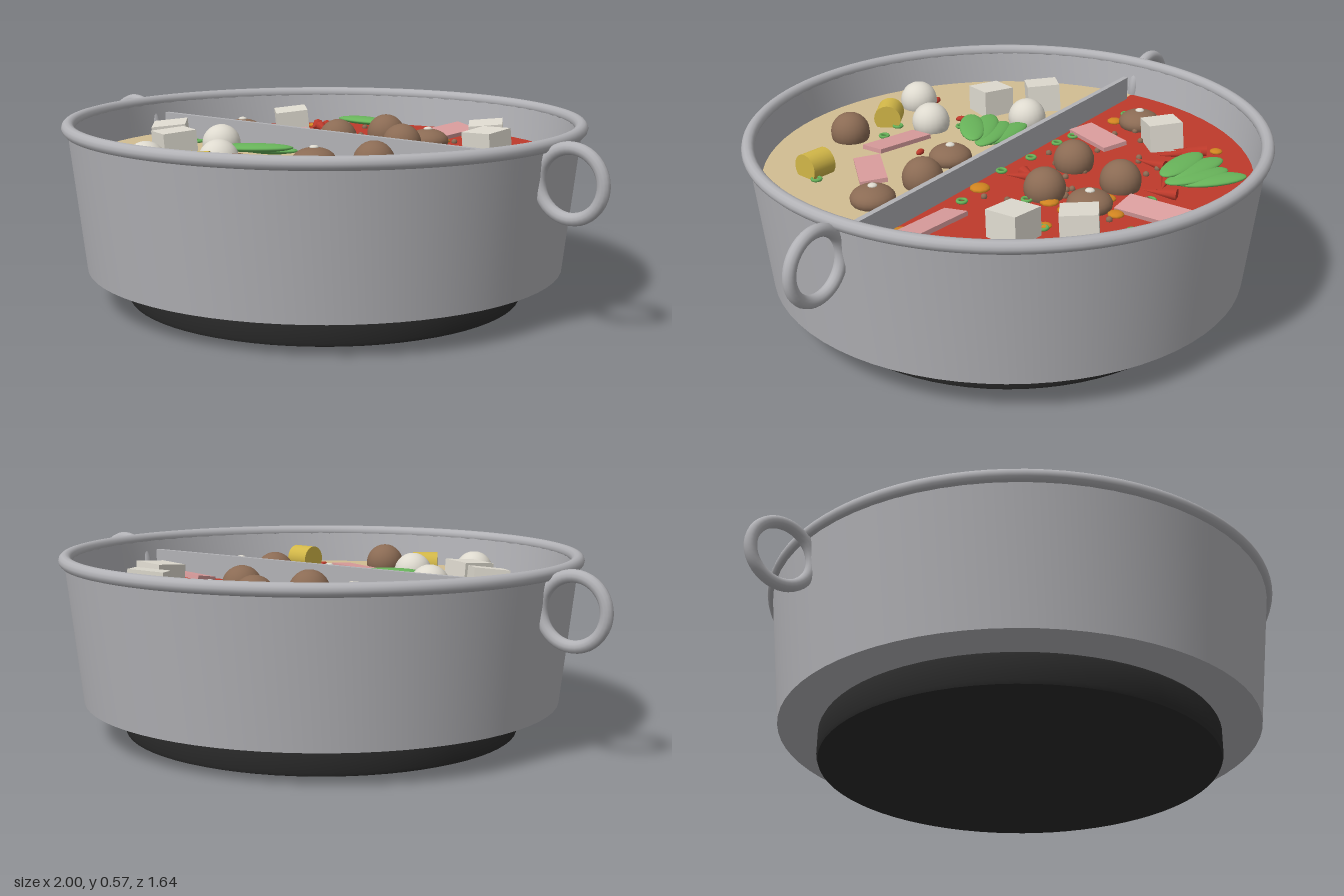
import * as THREE from 'three';
import { toCreasedNormals } from 'three/addons/utils/BufferGeometryUtils.js';

const LEVEL = 0.44; // broth surface height

export function createModel() {
  const root = new THREE.Group();
  root.name = 'dividedHotPot';

  const mat = (name, color, extra = {}) => {
    const m = new THREE.MeshStandardMaterial({ color, ...extra });
    m.name = name;
    return m;
  };
  const metal = mat('metal', 0xb2b2b6);
  const black = mat('blackBase', 0x2a2a2a);
  const red = mat('spicyRed', 0xbe3a2b);
  const tan = mat('clearBroth', 0xd2bd92);
  const brown = mat('mushroomBrown', 0x8b6b54);
  const white = mat('offWhite', 0xdedacf);
  const pink = mat('meatPink', 0xd99c9c);
  const green = mat('leafGreen', 0x68b45a);
  const yellow = mat('cornYellow', 0xd2b748);
  const orange = mat('oilOrange', 0xd08420);

  const add = (name, geo, material, x = 0, y = 0, z = 0, parent = root) => {
    const m = new THREE.Mesh(geo, material);
    m.name = name;
    m.position.set(x, y, z);
    parent.add(m);
    return m;
  };
  const lathe = (pts) => toCreasedNormals(
    new THREE.LatheGeometry(pts.map(([r, y]) => new THREE.Vector2(r, y)), 72), 0.5);

  // Base and pot shell
  add('base', lathe([[0, 0], [0.615, 0], [0.626, 0.004], [0.63, 0.015], [0.63, 0.09],
    [0.625, 0.1], [0.61, 0.105], [0, 0.105]]), black);
  add('potShell', lathe([[0, 0.105], [0.755, 0.105], [0.803, 0.55], [0.783, 0.55],
    [0.765, LEVEL - 0.02]]), metal);
  const rim = add('rim', new THREE.TorusGeometry(0.8, 0.02, 12, 96), metal, 0, 0.55, 0);
  rim.rotation.x = Math.PI / 2;

  // Ring handles
  for (const s of [1, -1]) {
    add(s > 0 ? 'leftHandle' : 'rightHandle', new THREE.TorusGeometry(0.1, 0.019, 12, 40),
      metal, s * 0.881, 0.452, 0);
  }

  // Two broths and the divider
  const half = (name, material, start) => {
    const geo = new THREE.CircleGeometry(0.772, 48, start, Math.PI);
    add(name, geo, material, 0, LEVEL, 0).rotation.x = -Math.PI / 2;
  };
  half('spicyBroth', red, 0);
  half('mildBroth', tan, Math.PI);
  add('divider', new THREE.BoxGeometry(1.44, 0.12, 0.018), metal, 0, 0.46, 0);

  // Shared ingredient shapes
  const ball = new THREE.SphereGeometry(1, 20, 14);
  const smallBall = new THREE.SphereGeometry(1, 10, 8);

  // Round mushrooms
  [[-0.045, -0.385], [0.135, -0.23], [-0.095, -0.185], [0.285, 0.115], [0.13, 0.545]]
    .forEach(([x, z]) => add('mushroomCap', ball, brown, x, LEVEL + 0.025, z).scale.setScalar(0.064));

  // Flatter mushrooms with a pale spot
  [[-0.52, -0.175], [0.13, -0.385], [0.47, 0.155], [0.09, 0.16]].forEach(([x, z]) => {
    add('flatMushroom', ball, brown, x, LEVEL + 0.015, z).scale.set(0.069, 0.04, 0.069);
    add('mushroomSpot', smallBall, white, x, LEVEL + 0.055, z).scale.set(0.015, 0.007, 0.015);
  });

  // Fish balls
  [[-0.315, 0.145], [-0.095, 0.385], [-0.235, 0.55]]
    .forEach(([x, z]) => add('fishBall', ball, white, x, LEVEL + 0.025, z).scale.setScalar(0.063));

  // Tofu cubes
  const tofu = new THREE.BoxGeometry(0.11, 0.1, 0.11);
  [[-0.415, -0.32, 0.8], [0.31, -0.465, 0.55], [0.41, -0.31, -0.1], [-0.49, 0.2, 0.72], [-0.35, 0.32, -0.4]]
    .forEach(([x, z, a]) => { add('tofu', tofu, white, x, LEVEL + 0.035, z).rotation.set(0.08, a, 0.05); });

  // Thin meat slices: x, z, heading, roll
  const slice = new THREE.BoxGeometry(0.22, 0.014, 0.085);
  [[0.08, -0.57, 1.48, 0.2], [-0.31, -0.14, 1.1, 0.1], [0.51, -0.1, 0, 0.15],
    [0.1, 0.37, -0.12, 0.08], [0.325, 0.29, 0.82, 0.1]].forEach(([x, z, a, roll]) => {
    const m = add('meatSlice', slice, pink, x, LEVEL + 0.02, z);
    m.rotation.order = 'YXZ';
    m.rotation.set(roll, a, 0.06);
  });

  // Leaf bunches
  [[-0.22, -0.55, -0.35], [-0.13, 0.17, 0.35]].forEach(([x, z, a]) => {
    const bunch = new THREE.Group();
    bunch.name = 'leafBunch';
    bunch.position.set(x, LEVEL + 0.02, z);
    bunch.rotation.y = a;
    root.add(bunch);
    for (let i = 0; i < 4; i++) {
      const leaf = add('leaf', ball, green, (i % 2) * 0.03 - 0.015, i * 0.007, (i - 1.5) * 0.035, bunch);
      leaf.scale.set(0.115, 0.013, 0.042);
      leaf.rotation.y = (i - 1.5) * 0.22;
    }
  });

  // Corn pieces lying on their sides
  const corn = new THREE.CylinderGeometry(0.045, 0.045, 0.085, 20);
  [[0.41, 0.44, -0.1], [-0.05, 0.53, 0.55]].forEach(([x, z, a]) => {
    const m = add('cornPiece', corn, yellow, x, LEVEL + 0.03, z);
    m.rotation.order = 'YXZ';
    m.rotation.set(0, a, Math.PI / 2);
  });

  // Oil drops on the spicy side
  [[0.255, -0.62, 0.034], [0.22, -0.65, 0.026], [0.5, -0.415, 0.036], [0.13, -0.475, 0.025],
    [0.41, -0.52, 0.02], [-0.46, -0.495, 0.021], [-0.175, -0.335, 0.027], [0.605, -0.245, 0.03],
    [0.25, -0.24, 0.027], [0.21, -0.045, 0.032], [0.58, -0.045, 0.03], [-0.5, -0.09, 0.025],
    [0.17, -0.27, 0.03], [0.05, -0.4, 0.025], [0.19, -0.34, 0.025], [0.31, -0.35, 0.02]]
    .forEach(([x, z, r]) => add('oilDrop', smallBall, orange, x, LEVEL + 0.003, z).scale.set(r, r * 0.4, r));

  // Dried chillies: x, z, heading
  const chilli = new THREE.ConeGeometry(0.019, 0.11, 8).rotateX(Math.PI / 2);
  [[-0.4, -0.43, 0.5], [-0.36, -0.43, 0.45], [-0.34, -0.4, 0.8], [-0.24, -0.375, 0], [-0.06, -0.51, 0.25],
    [0.31, -0.55, 0.5], [-0.53, -0.29, 1.9], [0.08, -0.1, 0.4], [0.07, -0.14, 2.7], [-0.13, -0.49, 1.9]]
    .forEach(([x, z, a]) => { add('chilli', chilli, red, x, LEVEL + 0.012, z).rotation.y = a; });

  // Scallion rings
  const ring = new THREE.TorusGeometry(0.014, 0.005, 6, 14).rotateX(Math.PI / 2);
  [[-0.525, 0.065], [-0.5, 0.065], [-0.14, 0.065], [-0.02, 0.06], [0.155, 0.055], [0.55, 0.07],
    [-0.155, 0.305], [0.06, 0.46], [-0.035, 0.48], [0.45, 0.4], [-0.22, 0.48], [0.2, -0.57],
    [-0.01, -0.51], [0.33, -0.355], [-0.53, -0.27], [-0.575, -0.09], [0.07, -0.025], [0.2, -0.21],
    [-0.3, -0.05], [-0.22, -0.04], [0.65, -0.07], [0.32, -0.06], [-0.07, -0.04], [0.49, -0.4]]
    .forEach(([x, z]) => add('scallionRing', ring, green, x, LEVEL + 0.006, z));

  // Red berries on the mild side
  [[-0.35, 0.04], [0.05, 0.075], [0.36, 0.04], [0.1, 0.275], [0.225, 0.195], [-0.21, 0.345],
    [-0.305, 0.525], [0.365, 0.49]].forEach(([x, z], i) => {
    const m = add('berry', smallBall, red, x, LEVEL + 0.006, z);
    m.scale.set(0.019, 0.01, 0.011);
    m.rotation.y = i * 1.1;
  });

  // Peppercorns scattered over the spicy side
  let seed = 7;
  const rand = () => (seed = (seed * 16807) % 2147483647) / 2147483647;
  for (let i = 0; i < 36; i++) {
    const a = Math.PI * (0.06 + 0.88 * rand());
    const r = 0.12 + 0.55 * rand();
    add('peppercorn', smallBall, brown, r * Math.cos(a), LEVEL + 0.004, -r * Math.sin(a)).scale.setScalar(0.01);
  }

  return root;
}
